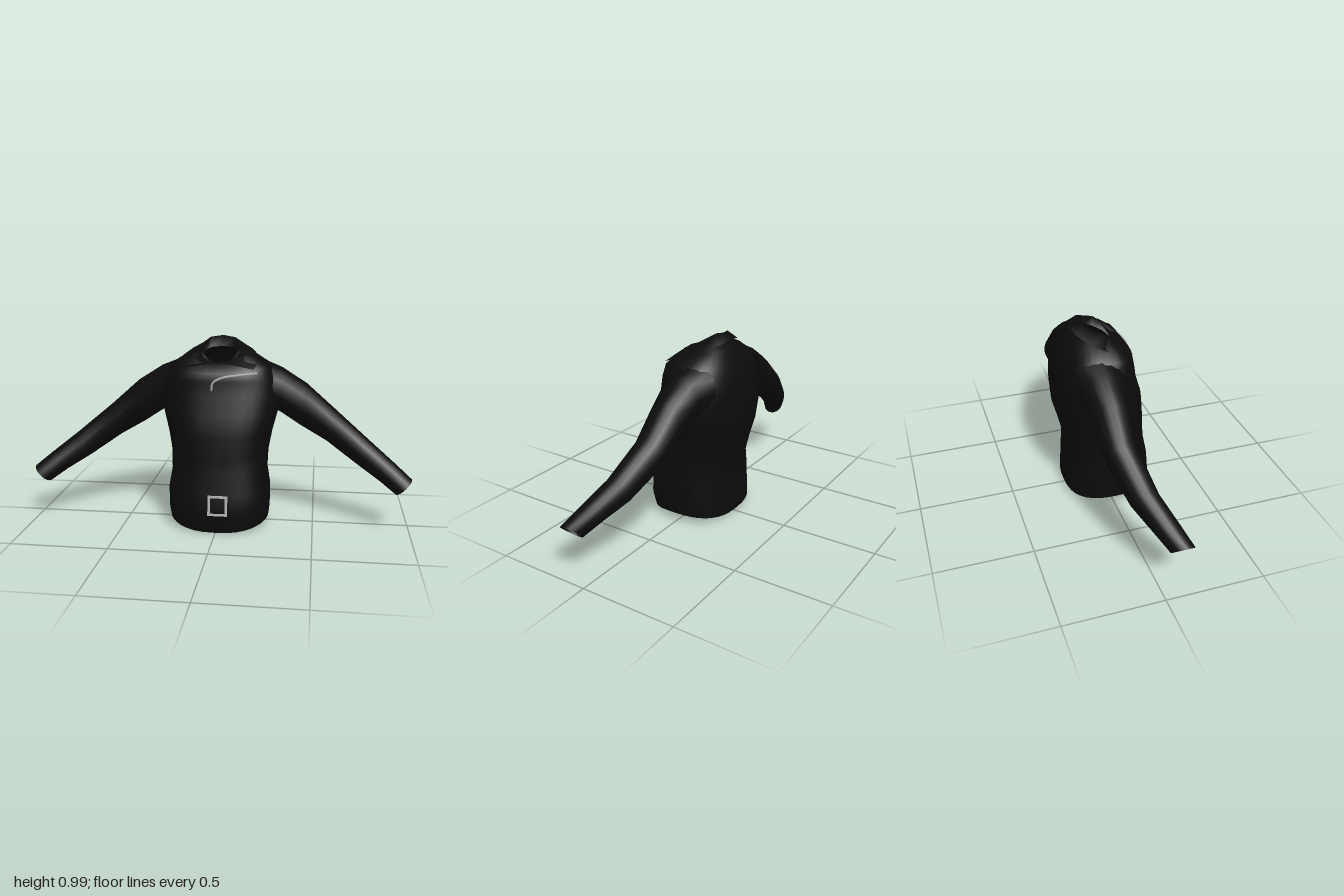
import * as THREE from 'three';

const black = new THREE.MeshStandardMaterial({ color: 0x0b0b0b, side: THREE.DoubleSide });
black.name = 'black leather';
const silver = new THREE.MeshStandardMaterial({ color: 0xb2b2b2 });
silver.name = 'silver metal';

// Skin a list of equal-length point rings
function loft(rings, closed) {
  const n = rings[0].length, index = [];
  for (let r = 0; r < rings.length - 1; r++) {
    for (let i = 0; i < (closed ? n : n - 1); i++) {
      const a = r * n + i, b = r * n + (i + 1) % n;
      index.push(a, b, b + n, a, b + n, a + n);
    }
  }
  const g = new THREE.BufferGeometry();
  g.setAttribute('position', new THREE.Float32BufferAttribute(rings.flat(2), 3));
  g.setIndex(index);
  g.computeVertexNormals();
  return g;
}

function add(parent, name, geometry, material) {
  const m = new THREE.Mesh(geometry, material);
  m.name = name;
  parent.add(m);
  return m;
}

const softPow = v => Math.sign(v) * Math.abs(v) ** 0.78;

// Torso ring: half width, front z, back z, then y at front, side and back
function torsoRing([hx, zf, zb, yf, ys = yf, yb = yf]) {
  const ring = [], mid = (zf + zb) / 2, hz = (zf - zb) / 2;
  for (let i = 0; i < 36; i++) {
    const t = i / 36 * Math.PI * 2, c = Math.cos(t);
    ring.push([hx * softPow(Math.sin(t)), ys + ((c > 0 ? yf : yb) - ys) * c * c, mid + hz * softPow(c)]);
  }
  return ring;
}

// Sleeve ring: top x, y, bottom x, y, front z, back z
function sleeveRing([tx, ty, bx, by, zf, zb]) {
  const ring = [];
  for (let i = 0; i < 18; i++) {
    const t = i / 18 * Math.PI * 2, c = Math.cos(t) / 2, s = Math.sin(t) / 2;
    ring.push([(tx + bx) / 2 + (tx - bx) * c, (ty + by) / 2 + (ty - by) * c, (zf + zb) / 2 + (zf - zb) * s]);
  }
  return ring;
}

export function createModel() {
  const jacket = new THREE.Group();
  jacket.name = 'jacket';

  // Body, open at hem and neck
  add(jacket, 'torso', loft([
    [0.262, 0.23, -0.21, 0, 0.042, 0.02],
    [0.269, 0.25, -0.206, 0.1],
    [0.27, 0.24, -0.2, 0.2],
    [0.253, 0.22, -0.196, 0.3],
    [0.256, 0.212, -0.22, 0.4],
    [0.274, 0.205, -0.247, 0.5],
    [0.3, 0.19, -0.253, 0.6],
    [0.305, 0.158, -0.251, 0.7],
    [0.295, 0.147, -0.238, 0.78],
    [0.26, 0.14, -0.21, 0.82, 0.85, 0.845],
    [0.18, 0.1, -0.165, 0.862, 0.9, 0.915],
    [0.1, 0.055, -0.105, 0.866, 0.93, 0.945],
  ].map(torsoRing), true), black);

  // Sleeves, mirrored
  const sleeve = loft([
    [0.21, 0.872, 0.22, 0.63, 0.08, -0.215],
    [0.32, 0.828, 0.312, 0.592, 0.045, -0.18],
    [0.45, 0.745, 0.42, 0.52, 0.025, -0.163],
    [0.6, 0.612, 0.56, 0.438, 0.01, -0.153],
    [0.78, 0.462, 0.72, 0.33, 0.05, -0.092],
    [0.92, 0.352, 0.84, 0.26, 0.11, -0.02],
    [1, 0.287, 0.92, 0.205, 0.145, 0.03],
  ].map(sleeveRing), true);
  add(jacket, 'leftSleeve', sleeve, black);
  add(jacket, 'rightSleeve', sleeve, black).scale.x = -1;

  // Folded collar: stand, fold and outer edge, from the back to the front tip
  const half = [
    [[0, 0.93, -0.1], [0, 0.985, -0.12], [0, 0.955, -0.166]],
    [[0.06, 0.925, -0.085], [0.065, 0.977, -0.1], [0.09, 0.94, -0.145]],
    [[0.09, 0.91, -0.05], [0.1, 0.952, -0.06], [0.16, 0.917, -0.1]],
    [[0.095, 0.89, -0.01], [0.112, 0.936, -0.005], [0.2, 0.89, -0.03]],
    [[0.07, 0.87, 0.035], [0.09, 0.9, 0.055], [0.2, 0.868, 0.05]],
    [[0.03, 0.845, 0.07], [0.04, 0.868, 0.105], [0.18, 0.842, 0.115]],
  ];
  const mirrored = half.slice(1).reverse().map(row => row.map(([x, y, z]) => [-x, y, z]));
  add(jacket, 'collar', loft([...mirrored, ...half], false), black);

  // Zip along the edge of the front flap
  const zipPath = new THREE.CatmullRomCurve3([
    [-0.028, 0.735, 0.148], [-0.022, 0.775, 0.15], [0.025, 0.803, 0.152],
    [0.09, 0.814, 0.142], [0.15, 0.819, 0.124], [0.2, 0.822, 0.1],
  ].map(p => new THREE.Vector3(...p)));
  add(jacket, 'zip', new THREE.TubeGeometry(zipPath, 30, 0.006, 6), silver);

  // Square belt buckle
  const frame = new THREE.Shape([[-0.051, -0.053], [0.051, -0.053], [0.051, 0.053], [-0.051, 0.053]]
    .map(p => new THREE.Vector2(...p)));
  frame.holes.push(new THREE.Path([[-0.038, -0.041], [-0.038, 0.041], [0.038, 0.041], [0.038, -0.041]]
    .map(p => new THREE.Vector2(...p))));
  const buckle = add(jacket, 'buckle',
    new THREE.ExtrudeGeometry(frame, { depth: 0.009, bevelEnabled: false }), silver);
  buckle.position.set(0.014, 0.153, 0.24);
  buckle.rotation.x = -0.09;

  return jacket;
}
